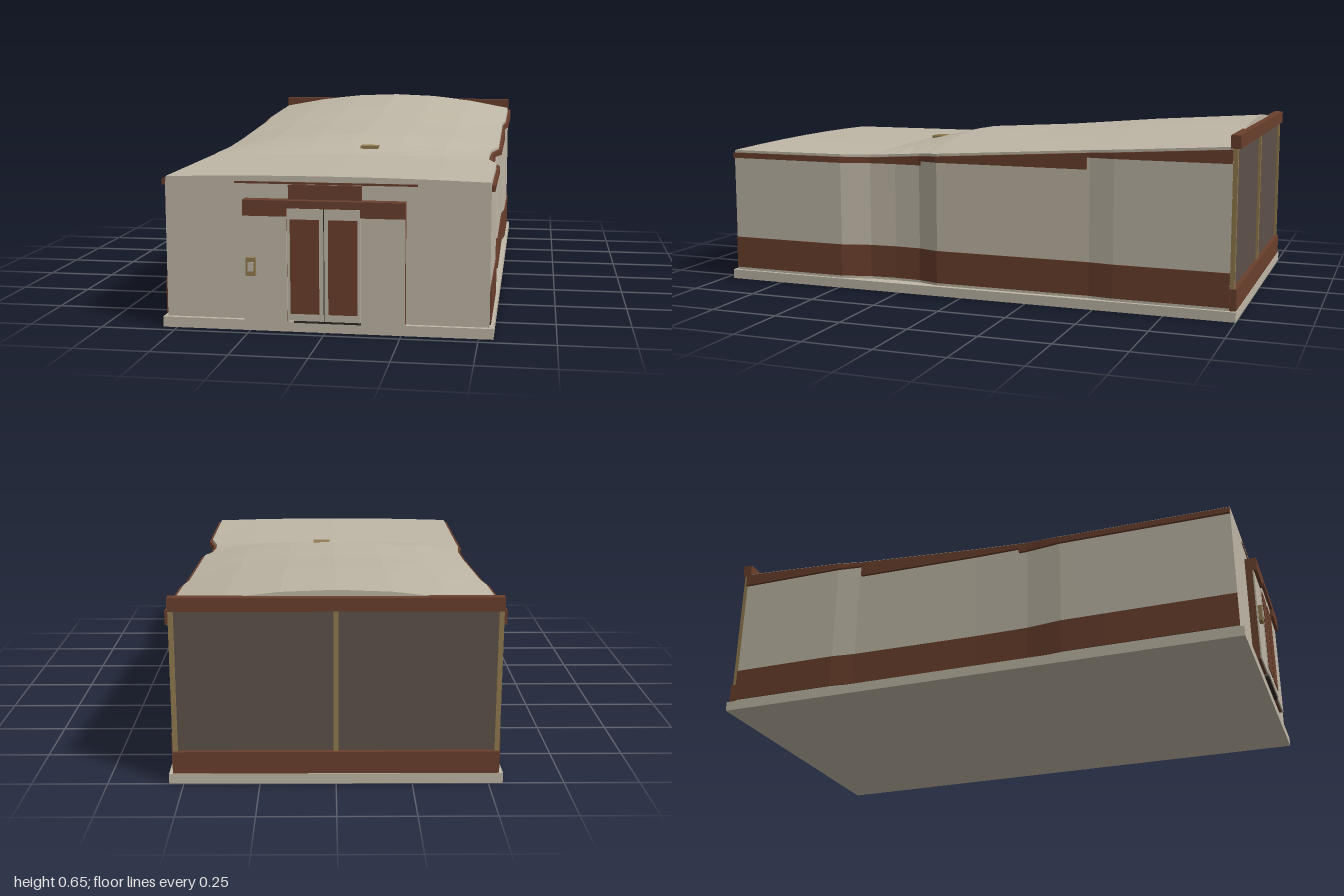
import * as THREE from 'three';

const mat = (name, color) => {
  const m = new THREE.MeshStandardMaterial({ color });
  m.name = name;
  return m;
};

// straight-line interpolation in a table of [z, value], z falling
function lerpTable(table, z) {
  for (let i = 0; i < table.length - 1; i++) {
    const [z0, v0] = table[i], [z1, v1] = table[i + 1];
    if (z >= z1) return v0 + (v1 - v0) * Math.min(1, Math.max(0, (z0 - z) / (z0 - z1)));
  }
  return table[table.length - 1][1];
}

// solid through convex cross-sections (counter-clockwise from the front), z falling
function loft(zs, section) {
  const rings = zs.map(z => section(z).map(([x, y]) => new THREE.Vector3(x, y, z)));
  const pos = [], n = rings[0].length;
  const tri = (...v) => v.forEach(p => pos.push(p.x, p.y, p.z));
  for (let i = 0; i < rings.length - 1; i++) {
    for (let k = 0; k < n; k++) {
      const a = rings[i][k], b = rings[i][(k + 1) % n];
      const c = rings[i + 1][k], d = rings[i + 1][(k + 1) % n];
      tri(a, c, b);
      tri(b, c, d);
    }
  }
  const back = rings[rings.length - 1];
  for (let k = 1; k < n - 1; k++) {
    tri(rings[0][0], rings[0][k], rings[0][k + 1]);
    tri(back[0], back[k + 1], back[k]);
  }
  const g = new THREE.BufferGeometry();
  g.setAttribute('position', new THREE.Float32BufferAttribute(pos, 3));
  g.computeVertexNormals();
  return g;
}

export function createModel() {
  const group = new THREE.Group();
  const beige = mat('beige plaster', 0xbfb7a6);
  const brown = mat('rust brown', 0x6a3f2d);
  const glass = mat('dark glass', 0x5e5149);
  const gold = mat('dull gold', 0x917b50);
  const dark = mat('dark gap', 0x2e2925);

  const add = (name, geo, material) => {
    const m = new THREE.Mesh(geo, material);
    m.name = name;
    group.add(m);
    return m;
  };
  // box given by its limits
  const box = (name, material, x0, x1, y0, y1, z0, z1) => {
    const m = add(name, new THREE.BoxGeometry(x1 - x0, y1 - y0, z1 - z0), material);
    m.position.set((x0 + x1) / 2, (y0 + y1) / 2, (z0 + z1) / 2);
    return m;
  };

  // plan outline of each side wall, and the roof heights along the building
  const leftWall = [[0.95, 0.535], [0.49, 0.535], [0.38, 0.506], [0.28, 0.5], [0.18, 0.504],
    [0.1, 0.528], [-0.48, 0.525], [-0.57, 0.535], [-0.975, 0.535]];
  const rightWall = [[0.95, 0.535], [0.33, 0.535], [0.2, 0.518], [0, 0.516], [-0.48, 0.525],
    [-0.57, 0.535], [-0.975, 0.535]];
  const eave = [[0.95, 0.497], [0.36, 0.499], [-0.975, 0.582]];
  const ridge = [[0.95, 0.515], [0.38, 0.518], [0.14, 0.57], [-0.2, 0.59], [-0.55, 0.621], [-0.975, 0.65]];
  const left = z => lerpTable(leftWall, z), right = z => -lerpTable(rightWall, z);
  const eaveY = z => lerpTable(eave, z), ridgeY = z => lerpTable(ridge, z);
  const zs = [...new Set([leftWall, rightWall, eave, ridge].flat().map(p => p[0]))].sort((a, b) => b - a);
  const span = (z0, z1) => [z0, ...zs.filter(z => z < z0 && z > z1), z1];

  // ground slab and walls
  box('baseSlab', beige, -0.548, 0.548, 0, 0.035, -1, 0.965);
  add('walls', loft(zs, z => [[right(z), 0.03], [left(z), 0.03],
    [left(z), eaveY(z) - 0.006], [right(z), eaveY(z) - 0.006]]), beige);

  // arched roof
  add('roof', loft(zs, z => {
    const l = left(z) - 0.002, r = right(z) + 0.002, e = eaveY(z) - 0.008, top = eaveY(z) + 0.009;
    const pts = [[r, e], [l, e]];
    for (let i = 0; i <= 6; i++) {
      const t = 1 - i / 3;
      pts.push([t > 0 ? t * l : -t * r, top + (ridgeY(z) - top) * (1 - t * t)]);
    }
    return pts;
  }), beige);
  box('roofVent', gold, 0.018, 0.085, 0.528, 0.543, 0.268, 0.312);

  // painted bands and stepped eave trims along both sides
  const strip = (name, side, z0, z1, low, high, out) => add(name, loft(span(z0, z1), z => {
    const x = side > 0 ? left(z) : right(z);
    const a = Math.min(x, x + side * out), b = Math.max(x, x + side * out);
    return [[a, low], [b, low], [b, high(z)], [a, high(z)]];
  }), brown);
  for (const side of [1, -1]) {
    strip('sideBand', side, 0.95, -0.975, 0.045, () => 0.165, 0.004);
    strip('eaveTrimFront', side, 0.95, 0.17, 0.477, eaveY, 0.011);
    strip('eaveTrimMiddle', side, 0.17, -0.47, 0.493, eaveY, 0.011);
    strip('eaveTrimRear', side, -0.47, -0.975, 0.535, eaveY, 0.011);
  }

  // glazed back
  box('backBottomBeam', brown, -0.535, 0.535, 0.035, 0.11, -0.998, -0.97);
  box('backTopBeam', brown, -0.535, 0.535, 0.585, 0.63, -1, -0.966);
  box('backGlass', glass, -0.53, 0.53, 0.11, 0.588, -0.982, -0.972);
  for (const x of [-0.526, 0, 0.526]) box('backPost', gold, x - 0.008, x + 0.008, 0.11, 0.586, -0.991, -0.975);

  // entrance surround
  box('frontEaveLine', brown, -0.3, 0.3, 0.488, 0.495, 0.94, 0.953);
  box('entranceHeader', brown, -0.12, 0.12, 0.438, 0.487, 0.945, 0.962);
  box('canopy', brown, -0.265, 0.265, 0.415, 0.44, 0.945, 0.992);
  for (const s of [1, -1]) {
    const mirrored = (name, m, x0, x1, ...rest) => box(name, m, Math.min(s * x0, s * x1), Math.max(s * x0, s * x1), ...rest);
    mirrored('canopyEnd', brown, 0.12, 0.265, 0.388, 0.416, 0.945, 0.992);
    mirrored('surroundCore', brown, 0.122, 0.264, 0.037, 0.39, 0.945, 0.975);
    mirrored('surroundPanel', beige, 0.122, 0.264, 0.037, 0.39, 0.975, 0.98);
    // sliding door leaf with its pane
    mirrored('doorLeaf', beige, 0.002, 0.12, 0.042, 0.413, 0.945, 0.982);
    mirrored('doorPane', brown, 0.015, 0.11, 0.066, 0.378, 0.982, 0.985);
  }
  box('doorSill', dark, -0.1, 0.12, 0.034, 0.042, 0.945, 0.978);
  box('doorGap', dark, -0.002, 0.002, 0.042, 0.413, 0.945, 0.975);

  // wall keypad
  box('keypad', gold, -0.256, -0.224, 0.19, 0.25, 0.98, 0.994);
  box('keypadScreen', beige, -0.249, -0.229, 0.205, 0.236, 0.994, 0.997);

  return group;
}
